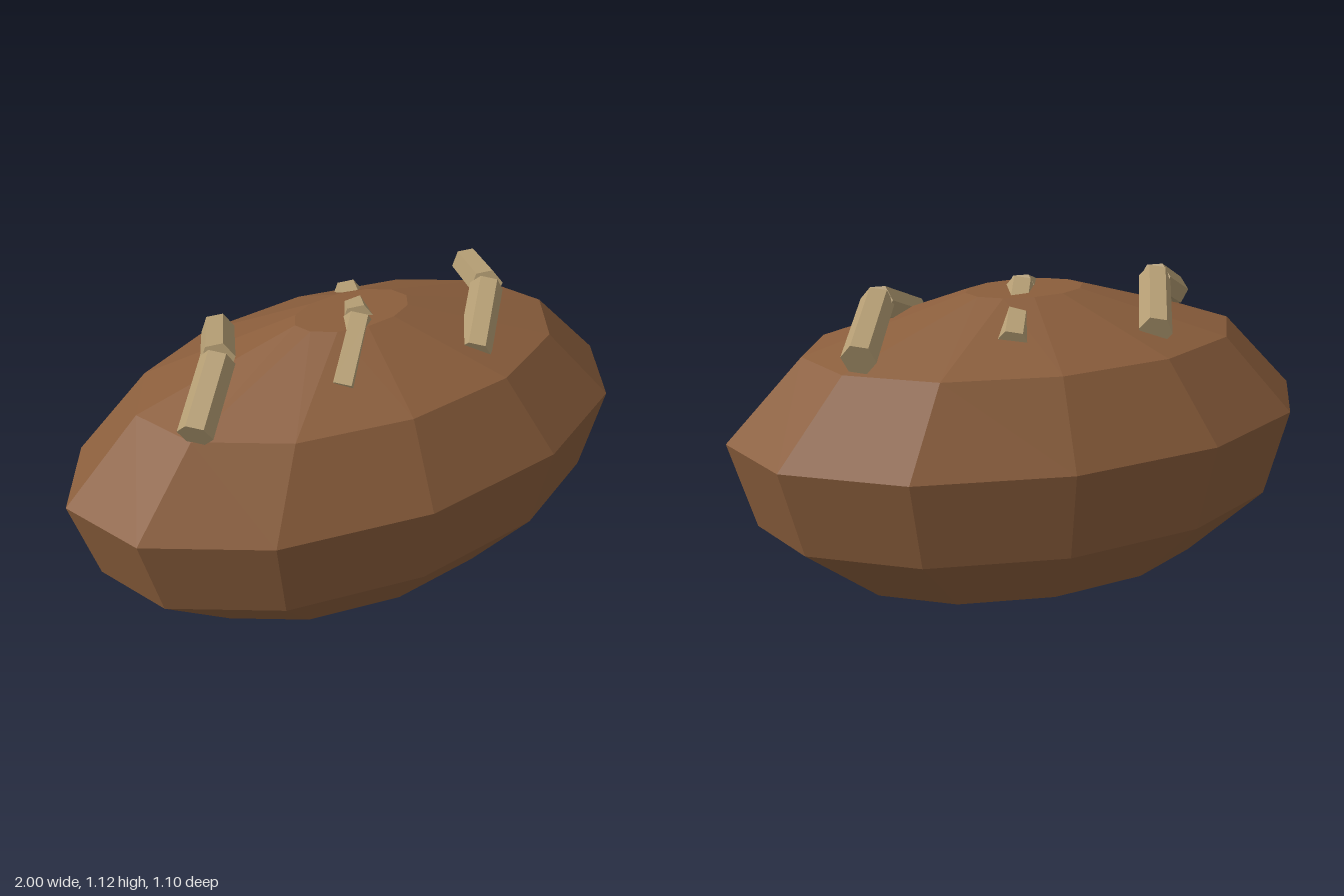
import * as THREE from 'three';

export function createModel() {
  const model = new THREE.Group();
  const crust = new THREE.MeshStandardMaterial({ color: 0x8b5e3c, flatShading: true });
  crust.name = 'crust brown';
  const pale = new THREE.MeshStandardMaterial({ color: 0xb59e74, flatShading: true });
  pale.name = 'pale crumb';

  // Loaf: twelve-sided lathe, narrowed in depth
  const profile = [
    [0, 0], [0.165, 0], [0.65, 0.122], [0.925, 0.35],
    [1, 0.655], [0.74, 0.925], [0.2, 1.09], [0, 1.09],
  ].map(([r, y]) => new THREE.Vector2(r, y));
  const loaf = new THREE.Mesh(new THREE.LatheGeometry(profile, 12), crust);
  loaf.name = 'loaf';
  loaf.scale.z = 0.55;
  model.add(loaf);

  // Hexagonal bar running between two points
  const up = new THREE.Vector3(0, 1, 0);
  function bar(a, b, name) {
    const dir = b.clone().sub(a);
    const mesh = new THREE.Mesh(new THREE.CylinderGeometry(0.055, 0.055, dir.length(), 6), pale);
    mesh.position.copy(a).add(b).multiplyScalar(0.5);
    mesh.quaternion.setFromUnitVectors(up, dir.normalize());
    mesh.name = name;
    return mesh;
  }

  // Three bent scoring marks across the top
  const front = new THREE.Vector3(-0.155, 0.965, 0.23);
  const bend = new THREE.Vector3(0, 1.073, 0.045);
  const back = new THREE.Vector3(0.115, 0.985, -0.25);
  [['rightScore', -0.48], ['middleScore', 0], ['leftScore', 0.48]].forEach(([name, x]) => {
    const score = new THREE.Group();
    score.name = name;
    score.position.x = x;
    score.add(bar(front, bend, 'frontHalf'), bar(bend, back, 'backHalf'));
    model.add(score);
  });

  return model;
}
